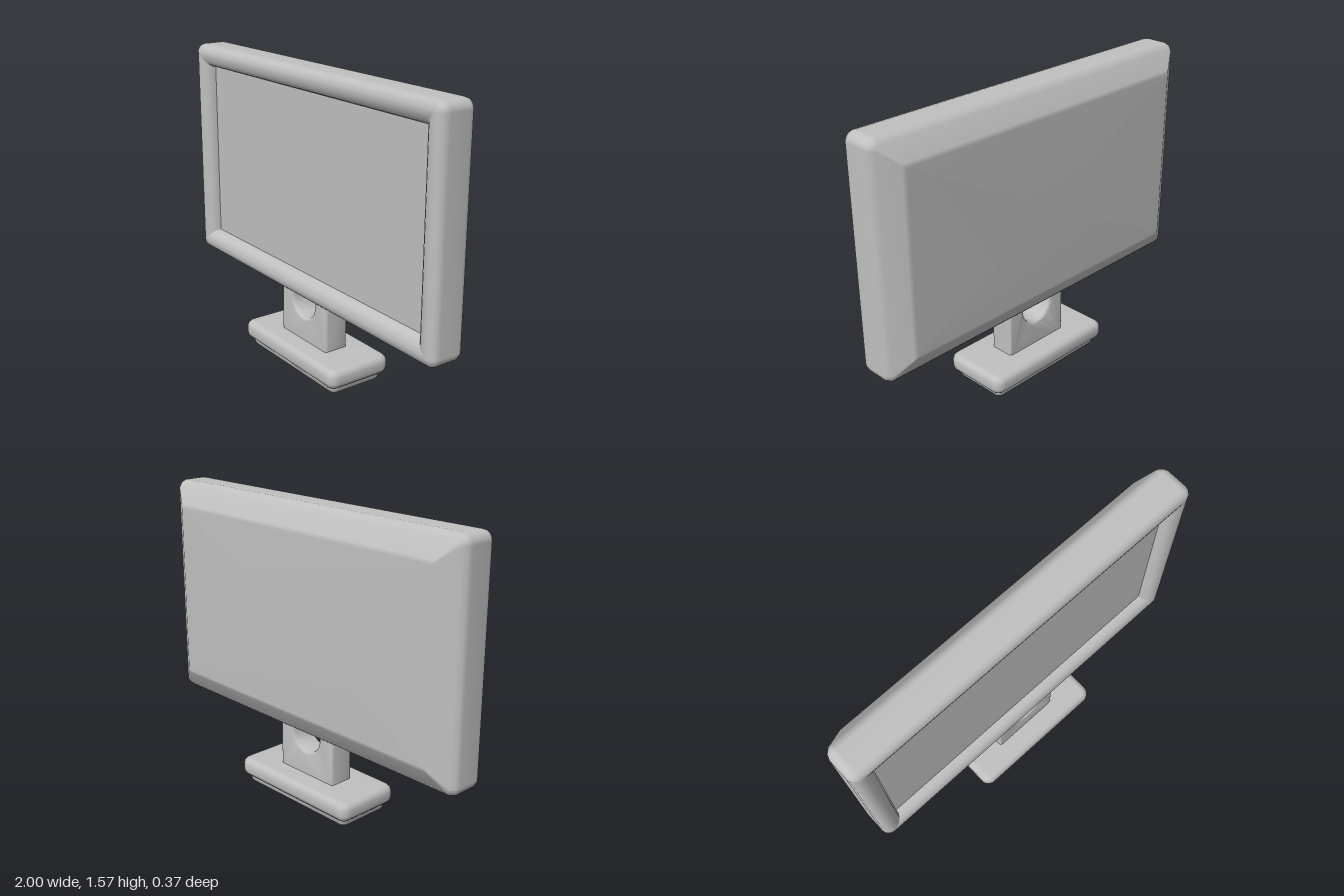
import * as THREE from 'three';
import { toCreasedNormals } from 'three/addons/utils/BufferGeometryUtils.js';

const CORNER_STEPS = 5;

// Counter-clockwise rounded rectangle, centred on the origin
function roundedRing(halfW, halfH, r) {
  const points = [];
  for (let corner = 0; corner < 4; corner++) {
    const sx = corner === 0 || corner === 3 ? 1 : -1;
    const sy = corner < 2 ? 1 : -1;
    for (let k = 0; k <= CORNER_STEPS; k++) {
      const a = (corner + k / CORNER_STEPS) * Math.PI / 2;
      points.push([sx * (halfW - r) + r * Math.cos(a), sy * (halfH - r) + r * Math.sin(a)]);
    }
  }
  return points;
}

// Smooth shell through rounded rectangles; profile runs front to back as [inset, z]
function loft(halfW, halfH, radius, profile, frontCap) {
  const positions = [], index = [];
  const n = 4 * (CORNER_STEPS + 1);
  for (const [inset, z] of profile) {
    const r = Math.max(radius - inset, 0.005);
    for (const [x, y] of roundedRing(halfW - inset, halfH - inset, r)) positions.push(x, y, z);
  }
  const last = (profile.length - 1) * n;
  const back = profile.length * n;
  positions.push(0, 0, profile[profile.length - 1][1]);
  positions.push(0, 0, profile[0][1]);
  for (let j = 0; j < n; j++) {
    const k = (j + 1) % n;
    for (let i = 0; i < last; i += n) {
      index.push(i + j, i + n + j, i + k, i + k, i + n + j, i + n + k);
    }
    index.push(back, last + k, last + j);
    if (frontCap) index.push(back + 1, j, k);
  }
  const geometry = new THREE.BufferGeometry();
  geometry.setAttribute('position', new THREE.Float32BufferAttribute(positions, 3));
  geometry.setIndex(index);
  geometry.computeVertexNormals();
  return geometry;
}

export function createModel() {
  const group = new THREE.Group();
  const grey = new THREE.MeshStandardMaterial({ color: 0xc0c0c0 });
  grey.name = 'grey plastic';

  const add = (name, geometry, y = 0, z = 0) => {
    const mesh = new THREE.Mesh(geometry, grey);
    mesh.name = name;
    mesh.position.set(0, y, z);
    group.add(mesh);
    return mesh;
  };

  // Housing: rolled bezel in front, straight sides, sloped back
  const housingProfile = [
    [0.12, 0.03], [0.117, 0.052], [0.105, 0.074], [0.085, 0.089], [0.06, 0.095],
    [0.04, 0.095], [0.018, 0.086], [0.005, 0.07], [0, 0.05],
    [0, -0.06], [0.008, -0.082], [0.028, -0.102],
    [0.115, -0.154], [0.135, -0.162],
  ];
  add('housing', loft(1, 0.595, 0.05, housingProfile, false), 0.97);

  // Flat screen, set back inside the bezel
  add('screen', new THREE.PlaneGeometry(1.765, 0.955), 0.97, 0.035);

  // Neck with a round notch at the top
  const shape = new THREE.Shape();
  shape.moveTo(-0.195, 0.1);
  shape.lineTo(0.195, 0.1);
  shape.lineTo(0.195, 0.43);
  shape.lineTo(0.095, 0.43);
  shape.lineTo(0.095, 0.36);
  shape.absarc(0, 0.36, 0.095, 0, -Math.PI, true);
  shape.lineTo(-0.095, 0.43);
  shape.lineTo(-0.195, 0.43);
  shape.closePath();
  const bevel = 0.016;
  const neck = new THREE.ExtrudeGeometry(shape, {
    depth: 0.136 - 2 * bevel, curveSegments: 20,
    bevelThickness: bevel, bevelSize: bevel, bevelOffset: -bevel, bevelSegments: 4,
  });
  neck.translate(0, 0, -0.066 + bevel);
  add('neck', toCreasedNormals(neck, 0.7));

  // Base slab and the smaller foot below it
  const baseProfile = [
    [0.036, 0.14], [0.018, 0.135], [0.005, 0.122], [0, 0.105],
    [0, 0.075], [0.005, 0.058], [0.018, 0.045], [0.036, 0.04],
  ];
  const footProfile = [
    [0, 0.06], [0, 0.035], [0.004, 0.018], [0.012, 0.006], [0.026, 0],
  ];
  add('base', loft(0.4, 0.185, 0.05, baseProfile, true).rotateX(-Math.PI / 2));
  add('foot', loft(0.37, 0.157, 0.04, footProfile, true).rotateX(-Math.PI / 2));

  return group;
}
